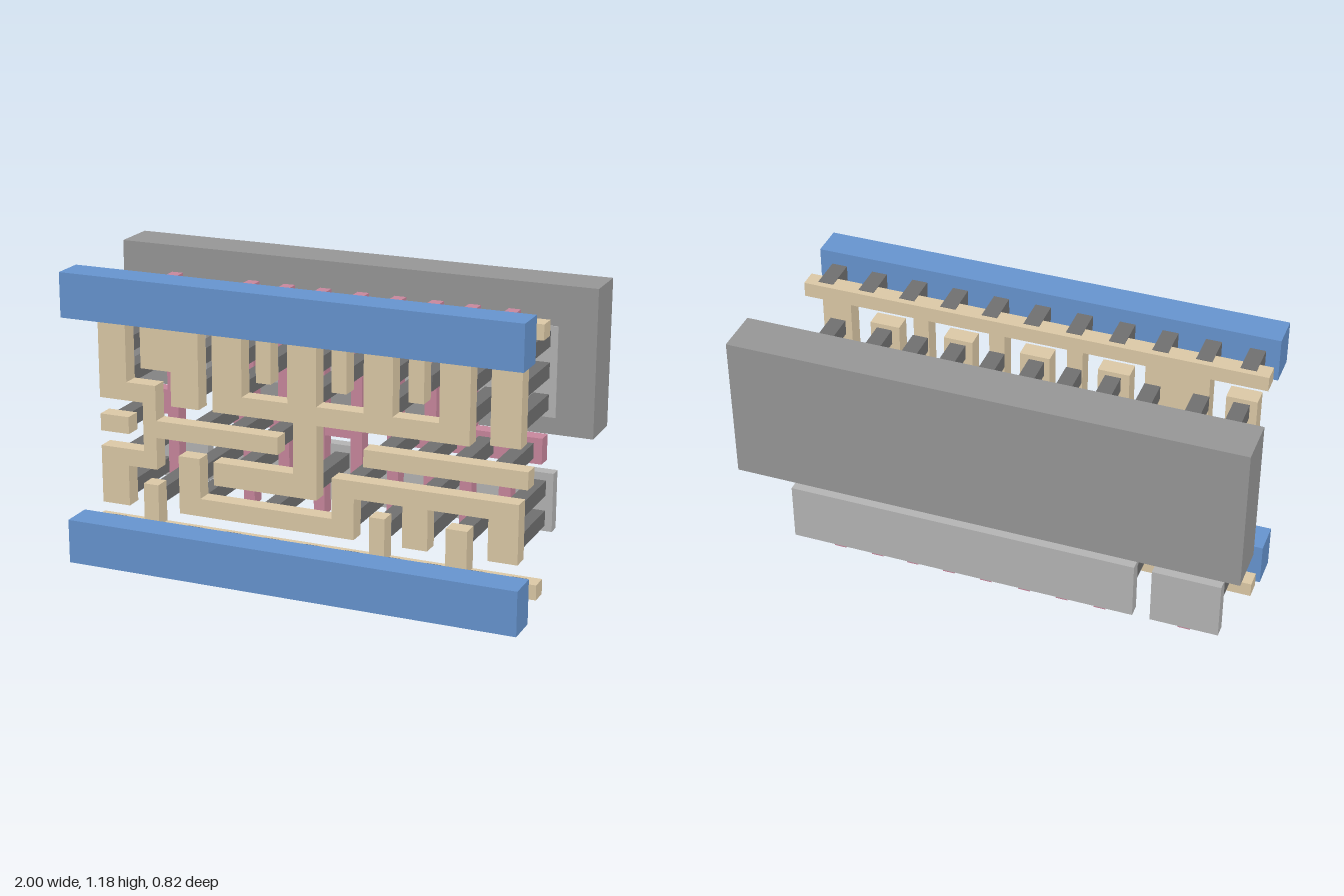
import * as THREE from 'three';

const material = (color) => new THREE.MeshStandardMaterial({ color, flatShading: true });
const wellMat = material(0x979797);
const diffusionMat = material(0xb4b4b4);
const contactMat = material(0x707070);
const gateMat = material(0xc8879d);
const traceMat = material(0xdcc9a6);
const railMat = material(0x6694cf);

// Box from its limits
function slab(parent, name, mat, x0, x1, y0, y1, z0, z1) {
  const mesh = new THREE.Mesh(new THREE.BoxGeometry(x1 - x0, y1 - y0, z1 - z0), mat);
  mesh.position.set((x0 + x1) / 2, (y0 + y1) / 2, (z0 + z1) / 2);
  mesh.name = name;
  parent.add(mesh);
}

// Flat outline extruded into the trace layer
function trace(parent, name, points) {
  const shape = new THREE.Shape(points.map(([x, y]) => new THREE.Vector2(x, y)));
  const geometry = new THREE.ExtrudeGeometry(shape, { depth: 0.07, bevelEnabled: false });
  geometry.translate(0, 0, 0.12);
  const mesh = new THREE.Mesh(geometry, traceMat);
  mesh.name = name;
  parent.add(mesh);
}

function group(parent, name) {
  const g = new THREE.Group();
  g.name = name;
  parent.add(g);
  return g;
}

export function createModel() {
  const root = new THREE.Group();
  root.name = 'logicCell';

  // Back block and the thin active plates
  slab(root, 'well', wellMat, -1, 1, 0.572, 1.16, -0.41, -0.225);
  const diffusion = group(root, 'diffusion');
  for (const [x0, x1] of [[-0.9, -0.63], [-0.56, 0.85]]) {
    slab(diffusion, 'upperPlate', diffusionMat, x0, x1, 0.64, 1.0, -0.27, -0.22);
    slab(diffusion, 'lowerPlate', diffusionMat, x0, x1, 0.177, 0.415, -0.27, -0.22);
  }

  // Gate fingers and the pads that join them
  const gates = group(root, 'gates');
  for (const x of [-0.755, -0.415, -0.26, -0.105, 0.055, 0.21, 0.365, 0.515, 0.675]) {
    slab(gates, 'gateFinger', gateMat, x - 0.024, x + 0.024, 0.13, 1.05, -0.225, -0.16);
  }
  for (const [x0, x1] of [[-0.89, -0.731], [-0.56, 0.079], [0.186, 0.82]]) {
    slab(gates, 'gatePad', gateMat, x0, x1, 0.467, 0.571, -0.224, -0.161);
  }

  // Posts from the plates and pads forward to the traces, by row height
  const contacts = group(root, 'contacts');
  const upper = [-0.835, -0.49, -0.335, -0.03, 0.29, 0.595, 0.79];
  const stubs = [-0.68, -0.18, 0.13, 0.445];
  const rows = [
    [0.95, [...upper, ...stubs]],
    [0.826, [...upper, ...stubs]],
    [0.7, upper],
    [0.518, [-0.835, -0.49, -0.335, -0.18, 0.29, 0.445, 0.595, 0.755]],
    [0.353, [-0.835, -0.49, -0.335, -0.03, 0.13, 0.445, 0.79]],
    [0.23, [-0.835, -0.68, -0.49, -0.18, 0.13, 0.29, 0.445, 0.595, 0.79]],
  ];
  for (const [y, xs] of rows) {
    for (const x of xs) {
      slab(contacts, 'contact', contactMat, x - 0.031, x + 0.031, y - 0.031, y + 0.031, -0.227, 0.12);
    }
  }

  // Traces
  const traces = group(root, 'traces');
  trace(traces, 'leftTrace', [
    [-0.895, 1], [-0.895, 0.625], [-0.705, 0.625], [-0.705, 0.425], [-0.895, 0.425], [-0.895, 0.187],
    [-0.775, 0.187], [-0.775, 0.355], [-0.648, 0.355], [-0.648, 0.487], [-0.125, 0.487],
    [-0.125, 0.557], [-0.648, 0.557], [-0.648, 0.7], [-0.775, 0.7], [-0.775, 1],
  ]);
  trace(traces, 'centreTrace', [
    [-0.4, 1], [-0.4, 0.625], [-0.06, 0.625], [-0.06, 0.42], [-0.46, 0.42], [-0.46, 0.325], [0.037, 0.325],
    [0.037, 0.625], [0.652, 0.625], [0.652, 1], [0.532, 1], [0.532, 0.7], [0.347, 0.7],
    [0.347, 1], [0.23, 1], [0.23, 0.7], [0.037, 0.7], [0.037, 1], [-0.083, 1],
    [-0.083, 0.7], [-0.275, 0.7], [-0.275, 1],
  ].map(([x, y]) => [x === -0.46 ? -0.4 : x, y]));
  trace(traces, 'lowerTrace', [
    [-0.552, 0.425], [-0.552, 0.187], [0.192, 0.187], [0.192, 0.353], [0.39, 0.353], [0.39, 0.187],
    [0.492, 0.187], [0.492, 0.353], [0.732, 0.353], [0.732, 0.187], [0.85, 0.187],
    [0.85, 0.425], [0.1, 0.425], [0.1, 0.26], [-0.46, 0.26], [-0.46, 0.425],
  ]);
  trace(traces, 'leftInput', [[-0.895, 0.487], [-0.77, 0.487], [-0.77, 0.557], [-0.895, 0.557]]);
  trace(traces, 'rightInput', [[0.23, 0.487], [0.882, 0.487], [0.882, 0.557], [0.23, 0.557]]);

  // Top supply comb with hanging stubs
  trace(traces, 'topComb', [
    [-0.93, 1.12], [-0.93, 1.06], [-0.71, 1.06], [-0.71, 0.765], [-0.58, 0.765], [-0.58, 0.625],
    [-0.46, 0.625], [-0.46, 1.06],
    ...[-0.183, 0.13, 0.44].flatMap((x) => [
      [x - 0.031, 1.06], [x - 0.031, 0.765], [x + 0.031, 0.765], [x + 0.031, 1.06],
    ]),
    [0.732, 1.06], [0.732, 0.64], [0.85, 0.64], [0.85, 1.06], [0.925, 1.06], [0.925, 1.12],
  ]);

  // Bottom supply comb with rising stubs
  trace(traces, 'bottomComb', [
    [0.925, 0.06], [0.925, 0.12],
    ...[[0.565, 0.65], [0.255, 0.318], [-0.71, -0.645]].flatMap(([a, b]) => [
      [b, 0.12], [b, 0.29], [a, 0.29], [a, 0.12],
    ]),
    [-0.93, 0.12], [-0.93, 0.06],
  ]);

  // Front supply rails and the short pegs that hold them
  const rails = group(root, 'rails');
  for (const [y, pegY] of [[0, 0.09], [1, 1.09]]) {
    slab(rails, 'rail', railMat, -0.93, 0.925, y, y + 0.178, 0.28, 0.41);
    for (let i = -5; i <= 5; i++) {
      const x = i * 0.169;
      slab(rails, 'peg', contactMat, x - 0.031, x + 0.031, pegY - 0.032, pegY + 0.032, 0.145, 0.28);
    }
  }
  return root;
}
